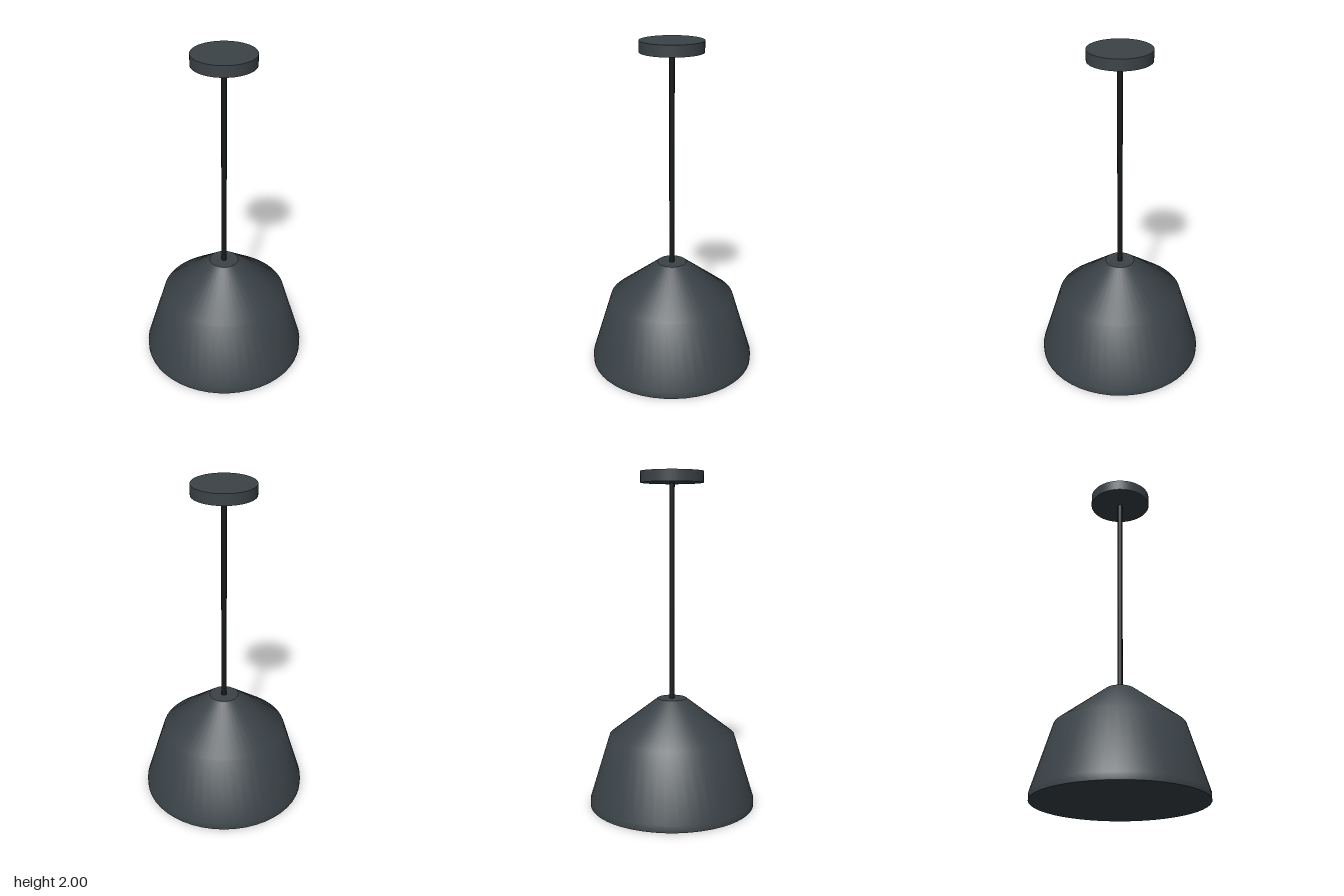
import * as THREE from 'three';

const SEGMENTS = 48;

export function createModel() {
  const lamp = new THREE.Group();
  lamp.name = 'pendantLamp';
  const slate = new THREE.MeshStandardMaterial({ color: 0x3b4348 });
  const black = new THREE.MeshStandardMaterial({ color: 0x16191b });

  const add = (parent, name, geometry, material, y = 0) => {
    const mesh = new THREE.Mesh(geometry, material);
    mesh.name = name;
    mesh.position.y = y;
    parent.add(mesh);
    return mesh;
  };

  // Shade: smooth turned wall closed by flat discs
  const shade = new THREE.Group();
  shade.name = 'shade';
  lamp.add(shade);
  const profile = [[0.5, 0], [0.5, 0.04], [0.38, 0.43], [0.088, 0.655]]
    .map(([r, y]) => new THREE.Vector2(r, y));
  add(shade, 'shadeWall', new THREE.LatheGeometry(profile, SEGMENTS), slate);
  add(shade, 'shadeTop', new THREE.CircleGeometry(0.088, SEGMENTS).rotateX(-Math.PI / 2), slate, 0.655);
  add(shade, 'shadeBottom', new THREE.CircleGeometry(0.5, SEGMENTS).rotateX(Math.PI / 2), slate);

  // Hanging rod between shade and canopy
  add(lamp, 'rod', new THREE.CylinderGeometry(0.016, 0.016, 1.29, 16), black, 1.295);

  // Ceiling canopy
  add(lamp, 'canopy', new THREE.CylinderGeometry(0.185, 0.185, 0.066, SEGMENTS), slate, 1.967);

  return lamp;
}
